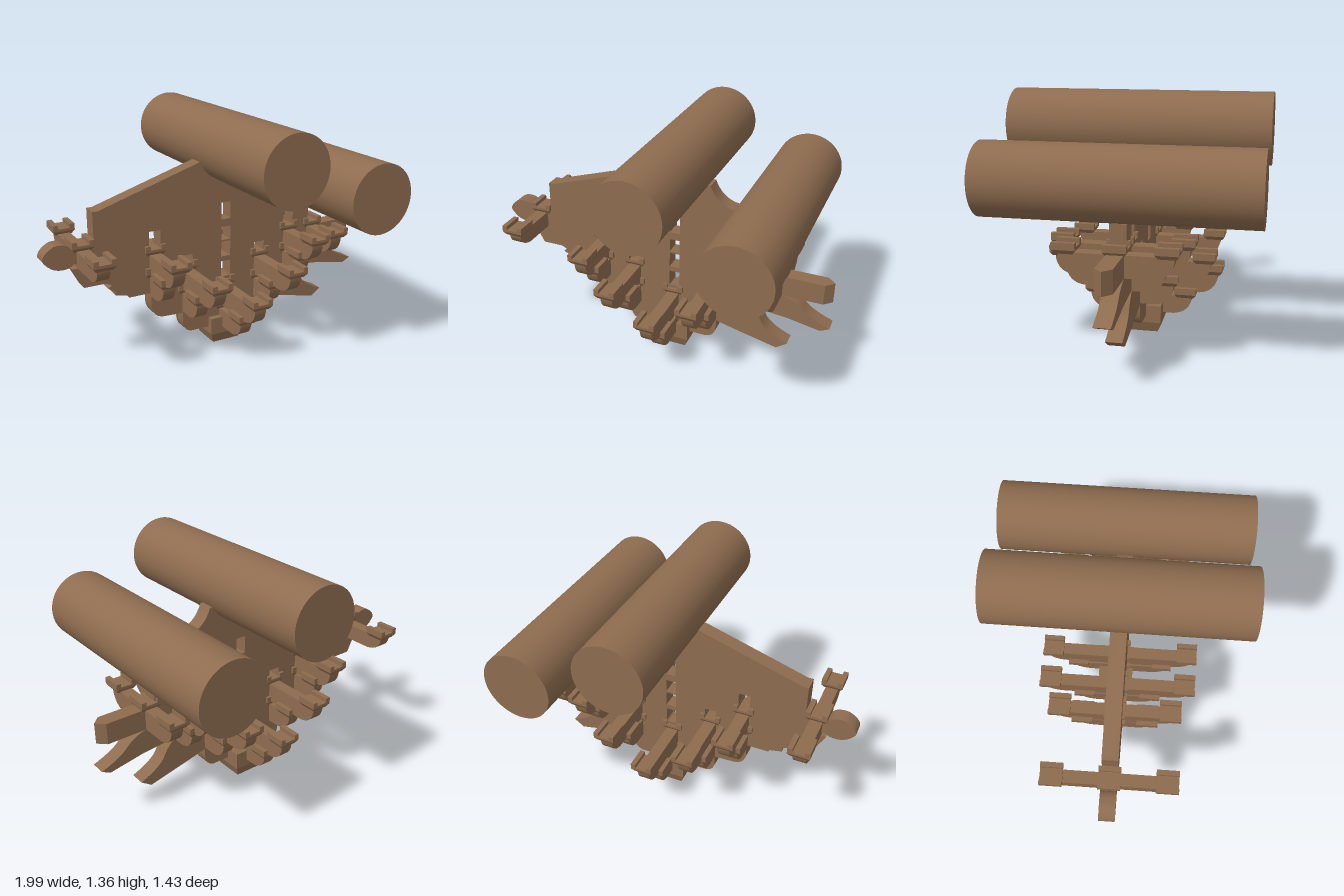
import * as THREE from 'three';
import { toCreasedNormals } from 'three/addons/utils/BufferGeometryUtils.js';

export function createModel() {
  const wood = new THREE.MeshStandardMaterial({ color: 0x8e6c4f });
  wood.name = 'brown wood';
  const root = new THREE.Group();
  root.name = 'timberBracketSet';
  const body = new THREE.Group();
  body.name = 'bracketBody';
  body.rotation.y = 0.0135;
  body.position.z = 0.01;
  root.add(body);

  const add = (name, geo, x = 0, y = 0, z = 0, parent = body) => {
    const m = new THREE.Mesh(geo, wood);
    m.name = name;
    m.position.set(x, y, z);
    parent.add(m);
    return m;
  };
  const extrude = (shape, depth) => {
    const g = new THREE.ExtrudeGeometry(shape, { depth, bevelEnabled: false, curveSegments: 8 });
    g.translate(0, 0, -depth / 2);
    return toCreasedNormals(g, 0.5);
  };

  // Round purlins
  const purlin = new THREE.CylinderGeometry(0.194, 0.194, 1.42, 64).rotateX(Math.PI / 2);
  add('upperPurlin', purlin, 0.092, 1.17, -0.005);
  add('lowerPurlin', purlin, 0.637, 0.956, -0.003);

  // Central wall of stacked beams, with two slanting beaks on the right
  const wall = new THREE.Shape();
  wall.moveTo(-0.15, 0.1);
  wall.lineTo(0.28, 0.1);
  wall.quadraticCurveTo(0.335, 0.11, 0.34, 0.18);
  wall.lineTo(0.34, 0.225);
  wall.lineTo(0.47, 0.193);
  wall.lineTo(0.705, 0.14);
  wall.lineTo(0.765, 0.183);
  wall.quadraticCurveTo(0.64, 0.23, 0.61, 0.29);
  wall.quadraticCurveTo(0.58, 0.35, 0.53, 0.382);
  wall.lineTo(0.75, 0.36);
  wall.lineTo(0.94, 0.325);
  wall.lineTo(0.99, 0.35);
  wall.quadraticCurveTo(0.88, 0.39, 0.84, 0.43);
  wall.quadraticCurveTo(0.79, 0.485, 0.71, 0.5);
  wall.lineTo(0.94, 0.5);
  wall.lineTo(0.94, 0.62);
  wall.lineTo(0.65, 0.62);
  wall.lineTo(0.65, 0.757);
  wall.quadraticCurveTo(0.52, 0.79, 0.49, 0.86);
  wall.quadraticCurveTo(0.46, 0.955, 0.41, 0.965);
  wall.quadraticCurveTo(0.32, 0.98, 0.28, 1.08);
  wall.lineTo(-0.09, 1.1);
  wall.lineTo(-0.69, 0.91);
  wall.lineTo(-0.72, 0.91);
  wall.lineTo(-0.72, 0.62);
  wall.lineTo(-0.845, 0.615);
  wall.lineTo(-0.785, 0.5);
  wall.lineTo(-0.665, 0.5);
  for (const [x, y] of [[-0.63, 0.485], [-0.65, 0.465], [-0.61, 0.445], [-0.61, 0.42],
    [-0.54, 0.405], [-0.53, 0.39], [-0.4, 0.39], [-0.4, 0.31]]) wall.lineTo(x, y);
  wall.quadraticCurveTo(-0.39, 0.23, -0.31, 0.23);
  wall.lineTo(-0.205, 0.225);
  wall.lineTo(-0.205, 0.17);
  wall.quadraticCurveTo(-0.2, 0.11, -0.15, 0.1);
  // Open slots
  const slot = (x, w, y0, y1) => {
    const h = new THREE.Path();
    h.moveTo(x - w, y0); h.lineTo(x - w, y1); h.lineTo(x + w, y1); h.lineTo(x + w, y0);
    h.closePath();
    wall.holes.push(h);
  };
  for (const [a, b] of [[0.4, 0.495], [0.525, 0.615], [0.625, 0.705], [0.75, 0.85]]) slot(0.077, 0.03, a, b);
  for (const x of [-0.172, 0.303]) slot(x, 0.034, 0.5, 0.575);
  for (const x of [-0.37, 0.505]) slot(x, 0.034, 0.63, 0.75);
  add('centralWall', extrude(wall, 0.088));

  // Pointed end of the main beam
  const tip = new THREE.Shape([[0.94, 0.044], [0.985, 0], [0.94, -0.044]].map(p => new THREE.Vector2(...p)).reverse());
  add('beamTip', extrude(tip, 0.12).rotateX(Math.PI / 2), 0, 0.56, 0);

  // Rounded beam head on the left
  const head = new THREE.Shape();
  head.moveTo(-0.7, 0.62);
  head.lineTo(-0.7, 0.73);
  head.lineTo(-0.845, 0.73);
  head.quadraticCurveTo(-0.87, 0.765, -0.935, 0.757);
  head.quadraticCurveTo(-1.0, 0.725, -1.0, 0.685);
  head.quadraticCurveTo(-0.95, 0.605, -0.86, 0.625);
  head.lineTo(-0.83, 0.645);
  head.lineTo(-0.78, 0.62);
  add('beamHead', extrude(head, 0.088));

  // Bearing block: tapered foot, body and two cheeks beside a groove
  const taper = (w, bottom, h, d = w) => {
    const k = Math.SQRT1_2;
    const g = new THREE.CylinderGeometry(k, k * bottom, h, 4).toNonIndexed();
    g.rotateY(Math.PI / 4).scale(w, 1, d).translate(0, h / 2, 0);
    g.computeVertexNormals();
    return g;
  };
  const foot = taper(0.122, 0.76, 0.022);
  const core = new THREE.BoxGeometry(0.122, 0.014, 0.122);
  const cheek = new THREE.BoxGeometry(0.028, 0.024, 0.122);
  const block = (x, y, z) => {
    const g = new THREE.Group();
    g.name = 'bearingBlock';
    g.position.set(x, y, z);
    add('blockFoot', foot, 0, 0, 0, g);
    add('blockCore', core, 0, 0.029, 0, g);
    for (const s of [-1, 1]) add('blockCheek', cheek, s * 0.047, 0.047, 0, g);
    body.add(g);
  };

  // Cross arm with rounded lower corners, carrying three bearing blocks
  const arm = (x, y0, y1, half) => {
    const e = half - 0.028, r = 0.1, s = new THREE.Shape();
    s.moveTo(-e + r, y0);
    s.lineTo(e - r, y0);
    s.quadraticCurveTo(e - 0.012, y0 + 0.012, e, y1 - 0.02);
    s.lineTo(e, y1);
    s.lineTo(-e, y1);
    s.lineTo(-e, y1 - 0.02);
    s.quadraticCurveTo(-e + 0.012, y0 + 0.012, -e + r, y0);
    add('crossArm', extrude(s, 0.07).rotateY(Math.PI / 2), x);
    for (const z of [-half + 0.061, 0, half - 0.061]) block(x, y1 - 0.006, z);
  };
  arm(0.07, 0.1, 0.205, 0.32);
  arm(0.07, 0.235, 0.352, 0.468);
  for (const x of [-0.172, 0.305]) {
    arm(x, 0.235, 0.352, 0.255);
    arm(x, 0.375, 0.488, 0.453);
  }
  for (const x of [-0.37, 0.507]) {
    arm(x, 0.375, 0.488, 0.247);
    arm(x, 0.5, 0.617, 0.373);
  }
  arm(0.677, 0.5, 0.617, 0.32);
  arm(-0.782, 0.62, 0.712, 0.372);

  // Large base block
  add('baseFoot', taper(0.212, 0.8, 0.06), 0.07, 0, -0.024);
  add('baseBody', new THREE.BoxGeometry(0.212, 0.1, 0.212), 0.07, 0.11, -0.024);
  return root;
}
